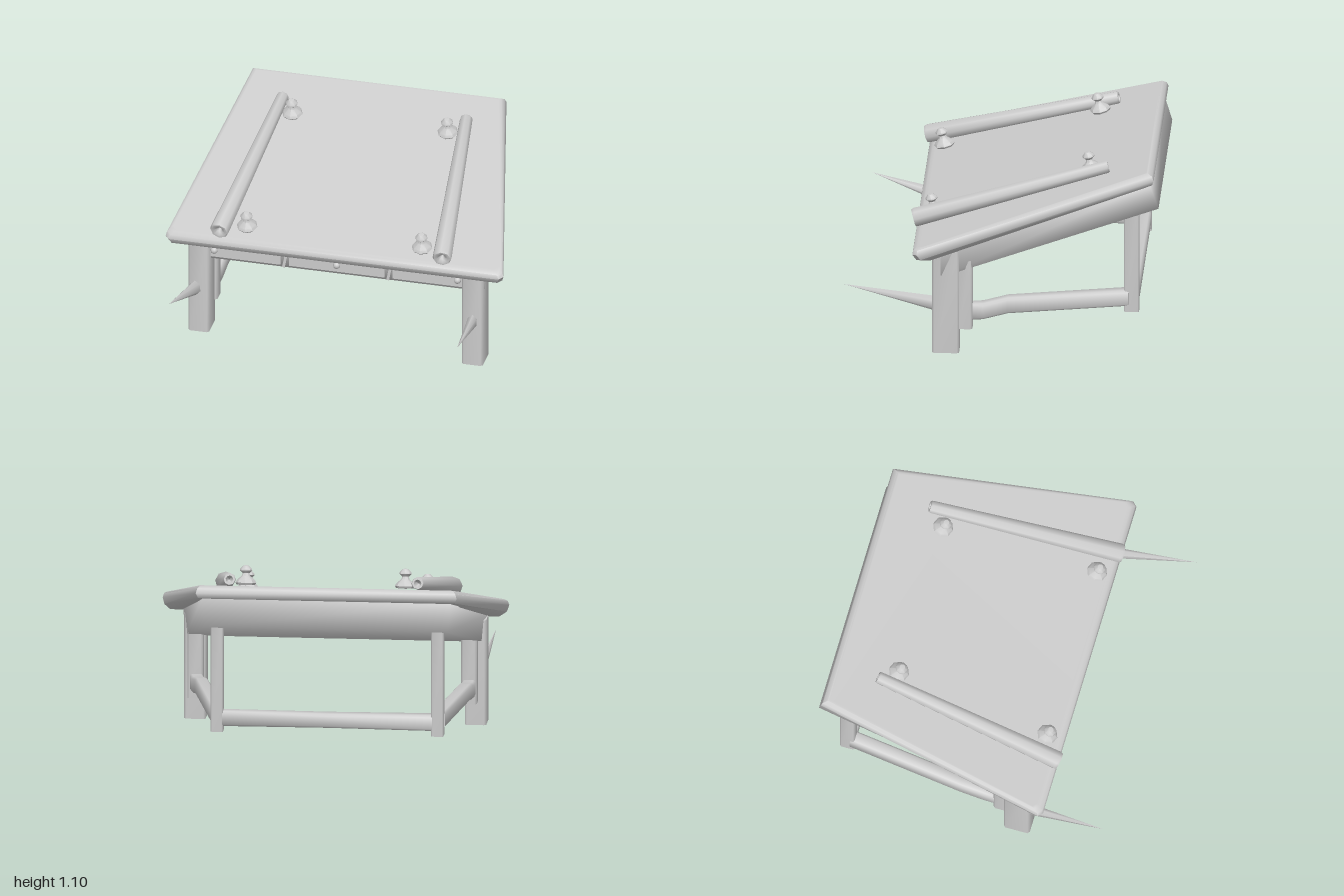
import * as THREE from 'three';
import { toCreasedNormals } from 'three/addons/utils/BufferGeometryUtils.js';

const V = (x, y, z) => new THREE.Vector3(x, y, z);

// Closed solid through rings of points, each ring counter-clockwise about the loft direction
function loft(rings, crease = 0.9) {
  const n = rings[0].length, index = [];
  const position = rings.flat().flatMap((p) => [p.x, p.y, p.z]);
  for (let i = 0; i < rings.length - 1; i++) {
    for (let j = 0; j < n; j++) {
      const a = i * n + j, b = i * n + ((j + 1) % n);
      index.push(a, b, b + n, a, b + n, a + n);
    }
  }
  const e = (rings.length - 1) * n;
  for (let j = 1; j < n - 1; j++) index.push(0, j + 1, j, e, e + j, e + j + 1);
  const g = new THREE.BufferGeometry();
  g.setAttribute('position', new THREE.Float32BufferAttribute(position, 3));
  g.setIndex(index);
  return toCreasedNormals(g, crease);
}

// Lathe profile given as [radius, height] pairs
const lathe = (profile, sides, crease) =>
  toCreasedNormals(new THREE.LatheGeometry(profile.map(([r, y]) => new THREE.Vector2(r, y)), sides), crease);

// Rectangle with slightly cut corners, as [u, v] pairs
function cutRect(w, d, cut) {
  const x = w / 2, z = d / 2;
  return [[-x + cut, z], [x - cut, z], [x, z - cut], [x, -z + cut],
    [x - cut, -z], [-x + cut, -z], [-x, -z + cut], [-x, z - cut]];
}

export function createModel() {
  const group = new THREE.Group();
  const grey = new THREE.MeshStandardMaterial({ color: 0xcccccc });
  grey.name = 'plain grey';

  const add = (name, geometry) => {
    const mesh = new THREE.Mesh(geometry, grey);
    mesh.name = name;
    group.add(mesh);
    return mesh;
  };
  // Stand a +y geometry at point a, pointing to b
  const aim = (mesh, a, b) => {
    mesh.position.copy(a);
    mesh.quaternion.setFromUnitVectors(V(0, 1, 0), b.clone().sub(a).normalize());
    return mesh;
  };
  // Upright post with cut corners
  const post = (name, cx, cz, w, d, cut, y0, y1) => add(name, loft([y0, y1].map((y) =>
    cutRect(w, d, cut).map(([x, z]) => V(cx + x, y, cz + z)))));

  // Sloping tabletop: tapered outline with rounded rim
  // Each ring: side inset, front z, front y, back z, back y
  const rim = [
    [0.07, 0.4, 0.606, -0.8, 0.964],
    [0.05, 0.42, 0.6, -0.82, 0.97],
    [0.012, 0.475, 0.615, -0.865, 0.99],
    [0, 0.497, 0.65, -0.875, 1.02],
    [0.008, 0.492, 0.675, -0.865, 1.045],
    [0.025, 0.47, 0.69, -0.84, 1.06],
    [0.035, 0.455, 0.6942, -0.83, 1.0572],
  ];
  add('tabletop', loft(rim.map(([s, zf, yf, zb, yb]) => {
    const zc = zf - 0.025, yc = yf + 0.00706;
    return [V(-0.975 + s, yf, zf), V(0.975 - s, yf, zf), V(1 - s, yc, zc),
      V(0.685 - s, yb, zb), V(-0.82 + s, yb, zb), V(-1 + s, yc, zc)];
  })));

  // Sloping drawer case under the top, softly shaded
  add('drawerCase', loft([
    [V(-0.87, 0.468, 0.34), V(0.855, 0.468, 0.34), V(0.63, 0.83, -0.9), V(-0.77, 0.83, -0.9)],
    [V(-0.885, 0.63, 0.34), V(0.87, 0.63, 0.34), V(0.65, 0.985, -0.85), V(-0.785, 0.985, -0.85)],
  ], 1.9));

  // Drawer fronts, knobs and slanted dividers
  for (const [x0, x1, knobX] of [[-0.785, -0.35, -0.74], [-0.3, 0.265, -0.015], [0.315, 0.75, 0.7]]) {
    add('drawerFront', new THREE.BoxGeometry(x1 - x0, 0.1, 0.02)).position.set((x0 + x1) / 2, 0.535, 0.342);
    add('drawerKnob', new THREE.SphereGeometry(0.021, 10, 8)).position.set(knobX, 0.532, 0.36);
  }
  for (const x of [-0.32, 0.297]) {
    const divider = add('drawerDivider', new THREE.BoxGeometry(0.016, 0.115, 0.03));
    divider.position.set(x, 0.53, 0.342);
    divider.rotation.z = -0.2;
  }

  // Legs and stretchers; each side has its own x positions
  const sides = [
    { leg: -0.826, inner: -0.795, back: -0.7, mid: -0.79, spike: V(-0.84, 0.283, 0.37), tip: V(-0.89, 0.42, 0.835) },
    { leg: 0.793, inner: 0.785, back: 0.572, mid: 0.728, spike: V(0.793, 0.283, 0.37), tip: V(0.832, 0.405, 0.9) },
  ];
  for (const s of sides) {
    post('frontLeg', s.leg, 0.313, 0.124, 0.155, 0.012, 0, 0.62);
    post('innerPost', s.inner, 0.205, 0.09, 0.09, 0.012, 0.14, 0.56);
    post('backLeg', s.back, -0.743, 0.07, 0.086, 0.007, 0.18, 0.85);

    // Side stretcher with a dip near the front
    const path = [[s.back, 0.263, -0.725], [s.mid, 0.263, -0.04], [s.mid * 0.7 + s.inner * 0.3, 0.25, 0.03],
      [s.mid * 0.4 + s.inner * 0.6, 0.237, 0.1], [s.inner, 0.237, 0.2]];
    const section = cutRect(0.078, 0.096, 0.012).reverse();
    add('sideStretcher', loft(path.map(([x, y, z]) => section.map(([u, v]) => V(x + u, y + v, z)))));

    // Spike on the front of the leg
    const length = s.spike.distanceTo(s.tip);
    const cone = new THREE.ConeGeometry(0.042, length, 6).translate(0, length / 2, 0);
    cone.scale(0.75, 1, 1.1);
    aim(add('legSpike', cone), s.spike, s.tip);
  }

  // Back stretcher
  add('backStretcher', loft([[-0.7, 0.092], [-0.06, 0.082], [0.57, 0.088]].map(([x, h]) =>
    cutRect(h, 0.08, 0.012).reverse().map(([u, v]) => V(x, 0.256 + u, -0.743 + v)))));

  // Rolled sheets with hollowed ends
  const rolls = [
    [V(-0.675, 0.75, 0.51), V(-0.57, 1.04, -0.605)],
    [V(0.645, 0.75, 0.51), V(0.515, 1.04, -0.605)],
  ];
  for (const [front, back] of rolls) {
    const l = front.distanceTo(back);
    aim(add('paperRoll', lathe([[0, 0.04], [0.018, 0.015], [0.035, 0], [0.05, 0], [0.056, 0.015],
      [0.037, l - 0.01], [0.033, l], [0.022, l], [0.012, l - 0.03], [0, l - 0.05]], 8, 0.9)), front, back);
  }

  // Small weights resting on the top, tilted with the slope
  for (const [x, z] of [[-0.49, -0.505], [0.43, -0.505], [-0.535, 0.395], [0.5, 0.395]]) {
    const weight = add('paperWeight', lathe([[0, -0.003], [0.052, 0], [0.061, 0.012], [0.052, 0.028], [0.024, 0.052],
      [0.019, 0.067], [0.036, 0.083], [0.034, 0.092], [0.016, 0.111], [0, 0.113]], 8, 0.6));
    weight.position.set(x, 0.712 + 0.28 * (0.47 - z), z);
    weight.rotation.x = 0.22;
  }

  return group;
}
